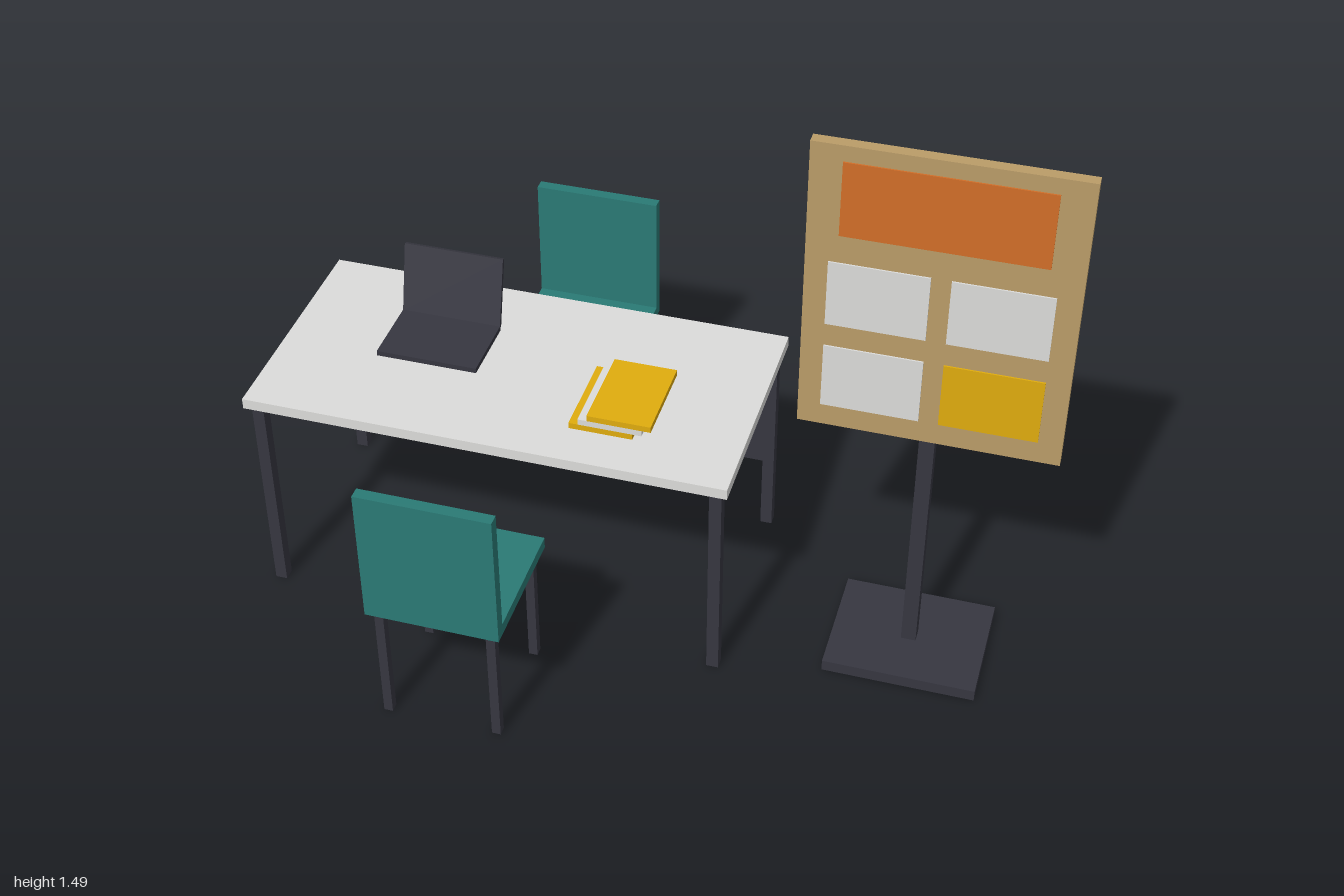
import * as THREE from 'three';

const material = (name, color) => {
  const m = new THREE.MeshStandardMaterial({ color });
  m.name = name;
  return m;
};

export function createModel() {
  const dark = material('charcoal', 0x363640);
  const pale = material('pale grey', 0xdcdcda);
  const teal = material('teal', 0x2a7a75);
  const tan = material('cork tan', 0xba9c68);
  const yellow = material('yellow', 0xe0ac0e);
  const orange = material('orange', 0xd16e28);

  // Box given by its limits on each axis
  const box = (parent, name, mat, [x0, x1], [y0, y1], [z0, z1]) => {
    const mesh = new THREE.Mesh(new THREE.BoxGeometry(x1 - x0, y1 - y0, z1 - z0), mat);
    mesh.position.set((x0 + x1) / 2, (y0 + y1) / 2, (z0 + z1) / 2);
    mesh.name = name;
    parent.add(mesh);
    return mesh;
  };
  const group = (parent, name) => {
    const g = new THREE.Group();
    g.name = name;
    parent.add(g);
    return g;
  };
  // Square leg centred on x, z
  const leg = (parent, name, x, z, size, height) =>
    box(parent, name, dark, [x - size / 2, x + size / 2], [0, height], [z - size / 2, z + size / 2]);

  const model = new THREE.Group();
  model.name = 'meetingDesk';

  // Desk with a modesty panel at the back
  const desk = group(model, 'desk');
  box(desk, 'deskTop', pale, [-1, 0.25], [0.583, 0.612], [-0.313, 0.313]);
  for (const x of [-0.968, 0.218])
    for (const z of [-0.284, 0.284]) leg(desk, 'deskLeg', x, z, 0.031, 0.583);
  box(desk, 'modestyPanel', dark, [-0.968, 0.218], [0.193, 0.583], [-0.309, -0.297]);

  // Two chairs facing each other across the desk
  for (const side of [1, -1]) {
    const chair = group(model, side > 0 ? 'frontChair' : 'backChair');
    box(chair, 'seat', teal, [-0.17, 0.17], [0.339, 0.37], [0.34, 0.683]);
    box(chair, 'backrest', teal, [-0.17, 0.17], [0.339, 0.714], [0.654, 0.684]);
    for (const x of [-0.142, 0.142])
      for (const z of [0.373, 0.656]) leg(chair, 'chairLeg', x, z, 0.023, 0.339);
    chair.position.x = -0.375;
    if (side < 0) chair.rotation.y = Math.PI;
  }

  // Laptop with its screen leaning back
  const laptop = group(model, 'laptop');
  box(laptop, 'keyboardBase', dark, [-0.743, -0.475], [0.612, 0.626], [-0.135, 0.053]);
  const lid = group(laptop, 'lid');
  lid.position.set(-0.609, 0.621, -0.135);
  lid.rotation.x = -0.255;
  box(lid, 'screen', dark, [-0.134, 0.134], [0, 0.19], [-0.005, 0.005]);

  // Stack of shifted books
  const books = group(model, 'books');
  [yellow, pale, yellow].forEach((mat, i) => {
    const x = -0.183 + i * 0.0235, y = 0.612 + i * 0.0162;
    box(books, 'book', mat, [x, x + 0.163], [y, y + 0.0162], [-0.04, 0.195]);
  });

  // Notice board on a post
  const stand = group(model, 'noticeBoard');
  box(stand, 'standBase', dark, [0.488, 0.878], [0, 0.031], [-0.08, 0.233]);
  box(stand, 'standPost', dark, [0.664, 0.702], [0.031, 1.219], [0.06, 0.097]);
  box(stand, 'board', tan, [0.37, 1], [0.707, 1.492], [0.09, 0.119]);

  // Thin posters on the board
  const poster = (mat, x, y) => box(stand, 'poster', mat, x, y, [0.119, 0.123]);
  poster(orange, [0.446, 0.922], [1.256, 1.451]);
  const columns = [[0.425, 0.661], [0.708, 0.943]];
  const rows = [[1.006, 1.181], [0.768, 0.943]];
  rows.forEach((y, r) => columns.forEach((x, c) => poster(r && c ? yellow : pale, x, y)));

  return model;
}
